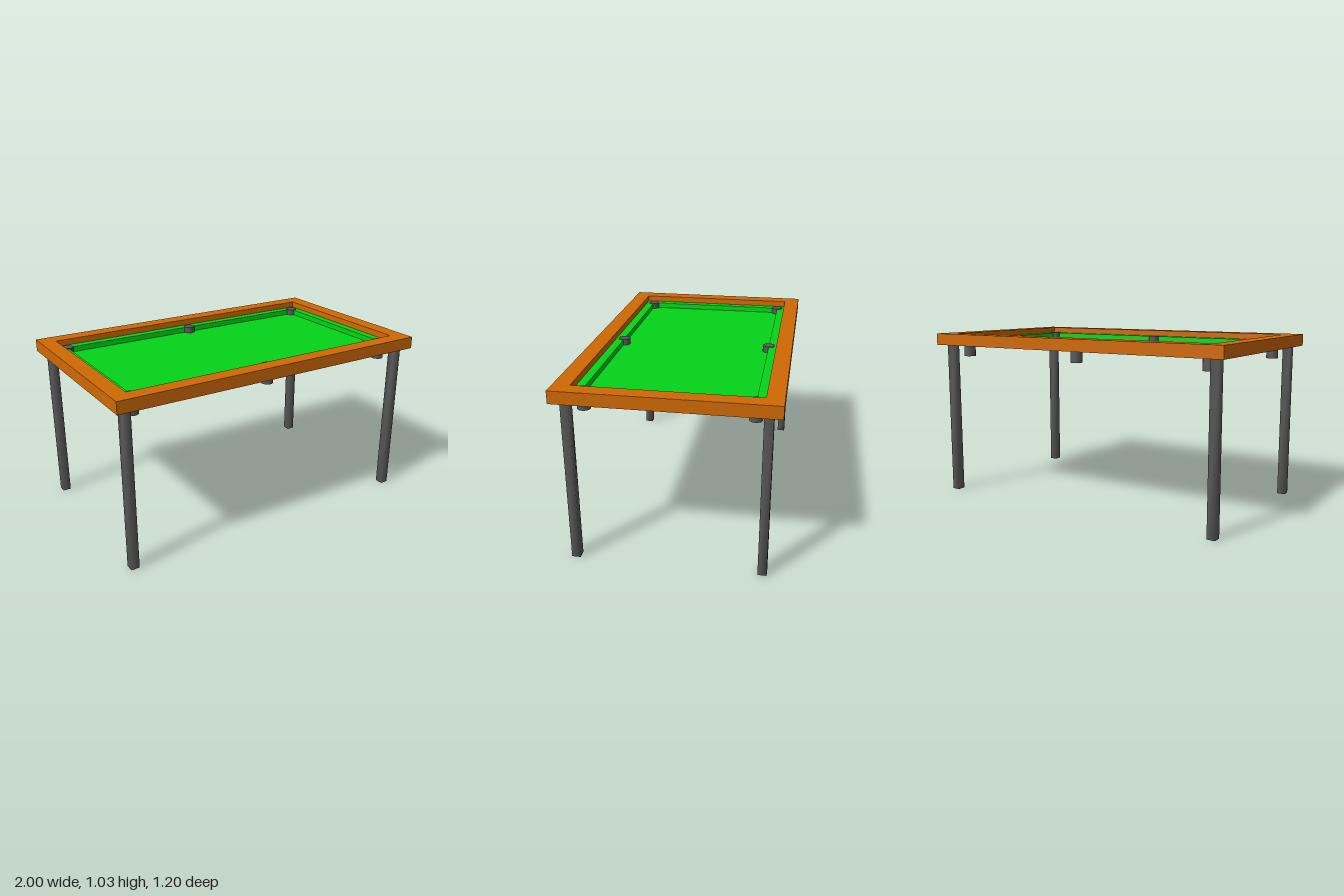
import * as THREE from 'three';
import { mergeVertices } from 'three/addons/utils/BufferGeometryUtils.js';

const wood = new THREE.MeshStandardMaterial({ color: 0xd06a04, side: THREE.DoubleSide });
const cloth = new THREE.MeshStandardMaterial({ color: 0x04d41a, side: THREE.DoubleSide });
const metal = new THREE.MeshStandardMaterial({ color: 0x5a5a5a });

// Thin folded sheet through a list of rectangles [half width, half depth, height]
function rectShell(name, material, rects) {
  const corners = rects.map(([x, z, y]) => [[-x, y, z], [x, y, z], [x, y, -z], [-x, y, -z]]);
  const points = [];
  for (let i = 0; i < corners.length - 1; i++) {
    for (let j = 0; j < 4; j++) {
      const k = (j + 1) % 4;
      const [a, b, c, d] = [corners[i][j], corners[i][k], corners[i + 1][k], corners[i + 1][j]];
      points.push(...a, ...b, ...c, ...a, ...c, ...d);
    }
  }
  const geometry = new THREE.BufferGeometry();
  geometry.setAttribute('position', new THREE.Float32BufferAttribute(points, 3));
  geometry.computeVertexNormals();
  const mesh = new THREE.Mesh(geometry, material);
  mesh.name = name;
  return mesh;
}

// Square post with softly shaded edges
function postGeometry(width, height) {
  const raw = new THREE.BoxGeometry(width, height, width);
  raw.deleteAttribute('normal');
  raw.deleteAttribute('uv');
  const geometry = mergeVertices(raw);
  geometry.computeVertexNormals();
  return geometry;
}

export function createModel() {
  const table = new THREE.Group();
  table.name = 'poolTable';

  // Hollow wooden surround, open underneath: outer wall, top and inner lip
  table.add(rectShell('frame', wood, [
    [1, 0.598, 0.955], [1, 0.598, 1.027], [0.905, 0.503, 1.027], [0.905, 0.503, 0.99],
  ]));

  // Cushion ledge and its drop down to the bed
  table.add(rectShell('cushions', cloth, [
    [0.905, 0.503, 0.99], [0.855, 0.453, 0.99], [0.855, 0.453, 0.957],
  ]));

  // Playing surface
  const bed = new THREE.Mesh(new THREE.PlaneGeometry(1.71, 0.906), cloth);
  bed.rotation.x = -Math.PI / 2;
  bed.position.y = 0.957;
  bed.name = 'bed';
  table.add(bed);

  // Four square legs reaching up inside the hollow frame
  const legHeight = 1.025;
  const legGeometry = postGeometry(0.05, legHeight);
  for (const x of [-0.93, 0.93]) {
    for (const z of [-0.525, 0.525]) {
      const leg = new THREE.Mesh(legGeometry, metal);
      leg.position.set(x, legHeight / 2, z);
      leg.name = 'leg';
      table.add(leg);
    }
  }

  // Six pocket cylinders along the long sides
  const pocketGeometry = new THREE.CylinderGeometry(0.036, 0.036, 0.114, 16);
  for (const x of [-0.855, 0, 0.855]) {
    for (const z of [-0.453, 0.453]) {
      const pocket = new THREE.Mesh(pocketGeometry, metal);
      pocket.position.set(x, 0.937, z);
      pocket.name = 'pocket';
      table.add(pocket);
    }
  }
  return table;
}
